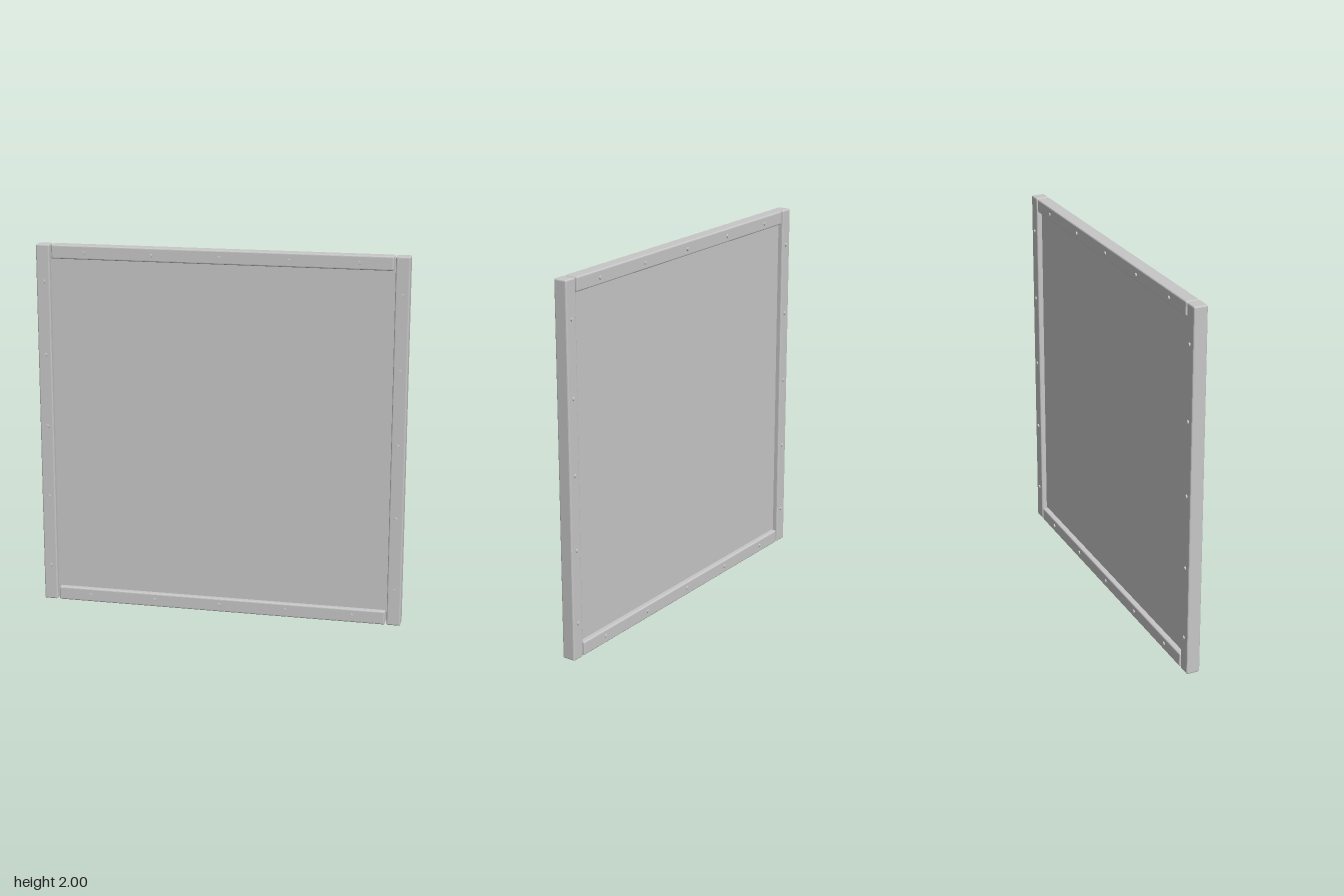
import * as THREE from 'three';
import { RoundedBoxGeometry } from 'three/addons/geometries/RoundedBoxGeometry.js';

export function createModel() {
  const model = new THREE.Group();
  model.name = 'framedPanel';
  const steel = new THREE.MeshStandardMaterial({ color: 0xc7c7c7 });
  steel.name = 'light steel grey';

  const BAR = 0.075;      // bar width
  const DEPTH = 0.074;    // bar depth
  const RAIL = 1.83;      // rail length

  function add(name, geometry, x, y, z) {
    const mesh = new THREE.Mesh(geometry, steel);
    mesh.name = name;
    mesh.position.set(x, y, z);
    model.add(mesh);
    return mesh;
  }

  // Thin sheet let into the middle of the bars
  add('panel', new THREE.BoxGeometry(1.97, 1.97, 0.016), 0, 1, 0);

  // Bars with faceted bevelled edges
  function barGeometry(width, height) {
    const geometry = new RoundedBoxGeometry(width, height, DEPTH, 2, 0.008);
    geometry.computeVertexNormals();
    return geometry;
  }
  const postGeometry = barGeometry(BAR, 2);
  const railGeometry = barGeometry(RAIL, BAR);

  // Rivet heads along the z axis, one on each face of a bar
  const rivetGeometry = new THREE.CylinderGeometry(0.009, 0.011, 0.012, 12);
  rivetGeometry.rotateX(Math.PI / 2);
  function addRivets(name, x, y) {
    for (const face of [1, -1]) {
      const rivet = add(name, rivetGeometry, x, y, face * 0.038);
      if (face < 0) rivet.rotation.y = Math.PI;
    }
  }

  for (const side of [1, -1]) {
    const offset = side * (1 - BAR / 2);
    add(side > 0 ? 'leftPost' : 'rightPost', postGeometry, offset, 1, 0);
    add(side > 0 ? 'topRail' : 'bottomRail', railGeometry, 0, 1 + offset, 0);
    for (let i = -2; i <= 2; i++) {
      addRivets('postRivet', side * 0.96, 1 + i * 0.4);
      addRivets('railRivet', i * 0.3675, 1 + side * 0.96);
    }
  }
  return model;
}
